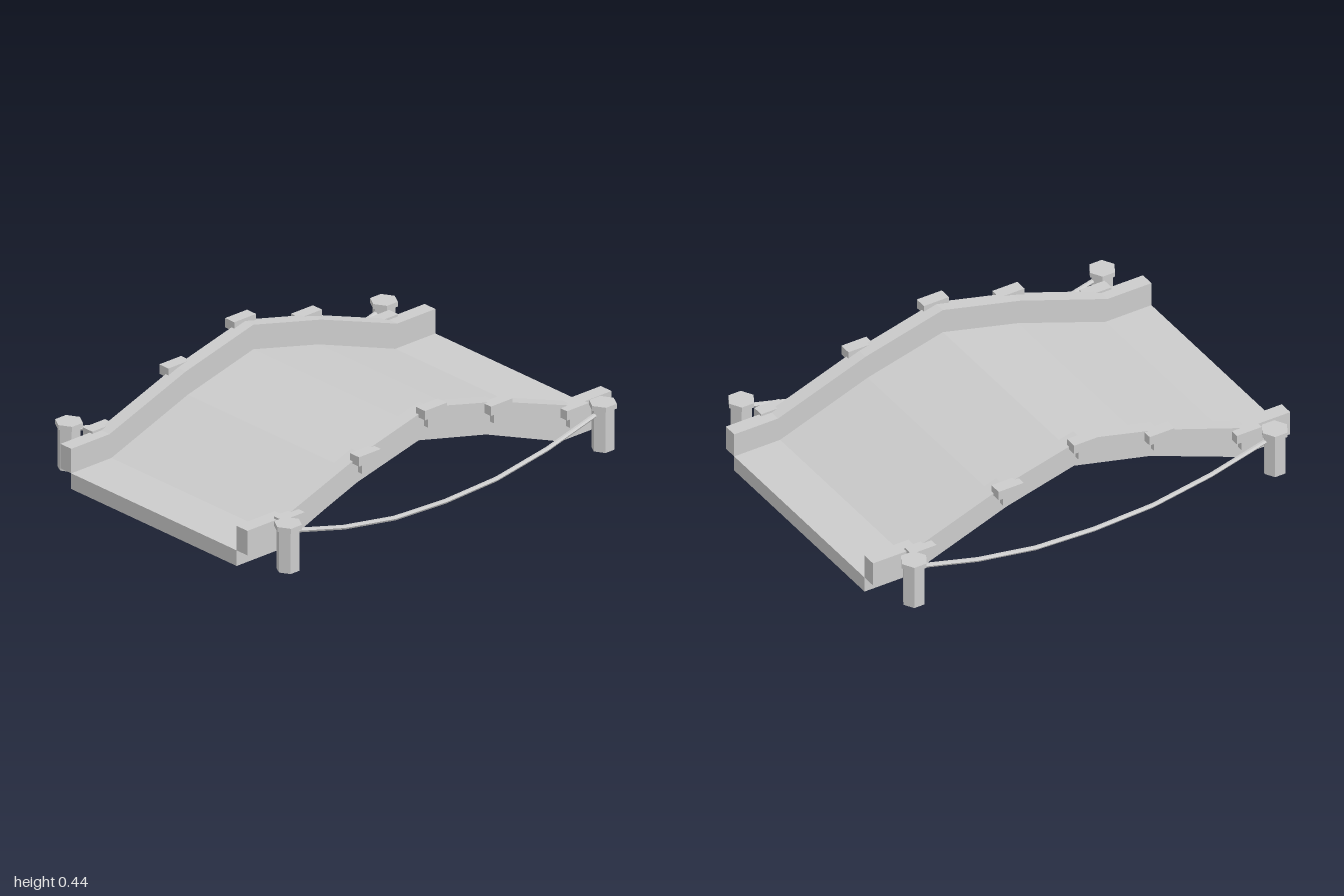
import * as THREE from 'three';

export function createModel() {
  const bridge = new THREE.Group();
  bridge.name = 'bridge';
  const stone = new THREE.MeshStandardMaterial({ color: 0xcccccc, flatShading: true });
  stone.name = 'grey stone';

  const add = (name, geometry, x = 0, y = 0, z = 0, parent = bridge) => {
    const mesh = new THREE.Mesh(geometry, stone);
    mesh.name = name;
    mesh.position.set(x, y, z);
    parent.add(mesh);
    return mesh;
  };

  // Arched slab: half profiles [z, y] mirrored in z, extruded across x
  const archSlab = (top, bottom, width) => {
    const mirrored = (half) => [...half, ...half.slice(0, -1).reverse().map(([z, y]) => [-z, y])];
    const outline = [...mirrored(bottom), ...mirrored(top).reverse()];
    const shape = new THREE.Shape(outline.map(([z, y]) => new THREE.Vector2(z, y)));
    return new THREE.ExtrudeGeometry(shape, { depth: width, bevelEnabled: false })
      .translate(0, 0, -width / 2)
      .rotateY(Math.PI / 2);
  };

  const under = [[-1, 0], [-0.78, 0], [-0.37, 0.16], [0, 0.25]];
  const road = [[-1, 0.07], [-0.78, 0.07], [-0.36, 0.222], [0, 0.313]];
  const rim = [[-1, 0.18], [-0.79, 0.18], [-0.37, 0.33], [0, 0.423]];

  add('deck', archSlab(road, under, 1));

  for (const side of [-1, 1]) {
    const label = side > 0 ? 'left' : 'right';
    add(label + 'Parapet', archSlab(rim, road, 0.065), side * 0.5325);

    // Bracket blocks along the parapet: wide cap over a narrow corbel
    for (const [z, top] of [[-0.78, 0.19], [-0.362, 0.342], [0, 0.436], [0.362, 0.342], [0.78, 0.19]]) {
      const bracket = new THREE.Group();
      bracket.name = label + 'Bracket';
      bracket.position.set(0, top, z);
      bridge.add(bracket);
      add('bracketCap', new THREE.BoxGeometry(0.055, 0.042, 0.12), side * 0.5765, -0.021, 0, bracket);
      add('bracketCorbel', new THREE.BoxGeometry(0.045, 0.048, 0.06), side * 0.5675, -0.065, 0, bracket);
    }

    // Hexagonal bollards at both ends
    for (const z of [-0.865, 0.865]) {
      const bollard = new THREE.Group();
      bollard.name = label + 'Bollard';
      bollard.position.set(side * 0.662, 0, z);
      bridge.add(bollard);
      add('bollardShaft', new THREE.CylinderGeometry(0.05, 0.05, 0.186, 6), 0, 0.093, 0, bollard);
      add('bollardCap', new THREE.CylinderGeometry(0.059, 0.059, 0.022, 6), 0, 0.196, 0, bollard);
    }

    // Sagging rope of straight segments between the bollards
    const rope = new THREE.CurvePath();
    const sag = [[-0.83, 0.163], [-0.57, 0.094], [-0.29, 0.046], [0, 0.033], [0.29, 0.046], [0.57, 0.094], [0.83, 0.163]]
      .map(([z, y]) => new THREE.Vector3(0, y, z));
    rope.curves.push(new THREE.CatmullRomCurve3(sag));
    add(label + 'Rope', new THREE.TubeGeometry(rope.curves[0], 6, 0.01, 6), side * 0.662);
  }
  return bridge;
}
